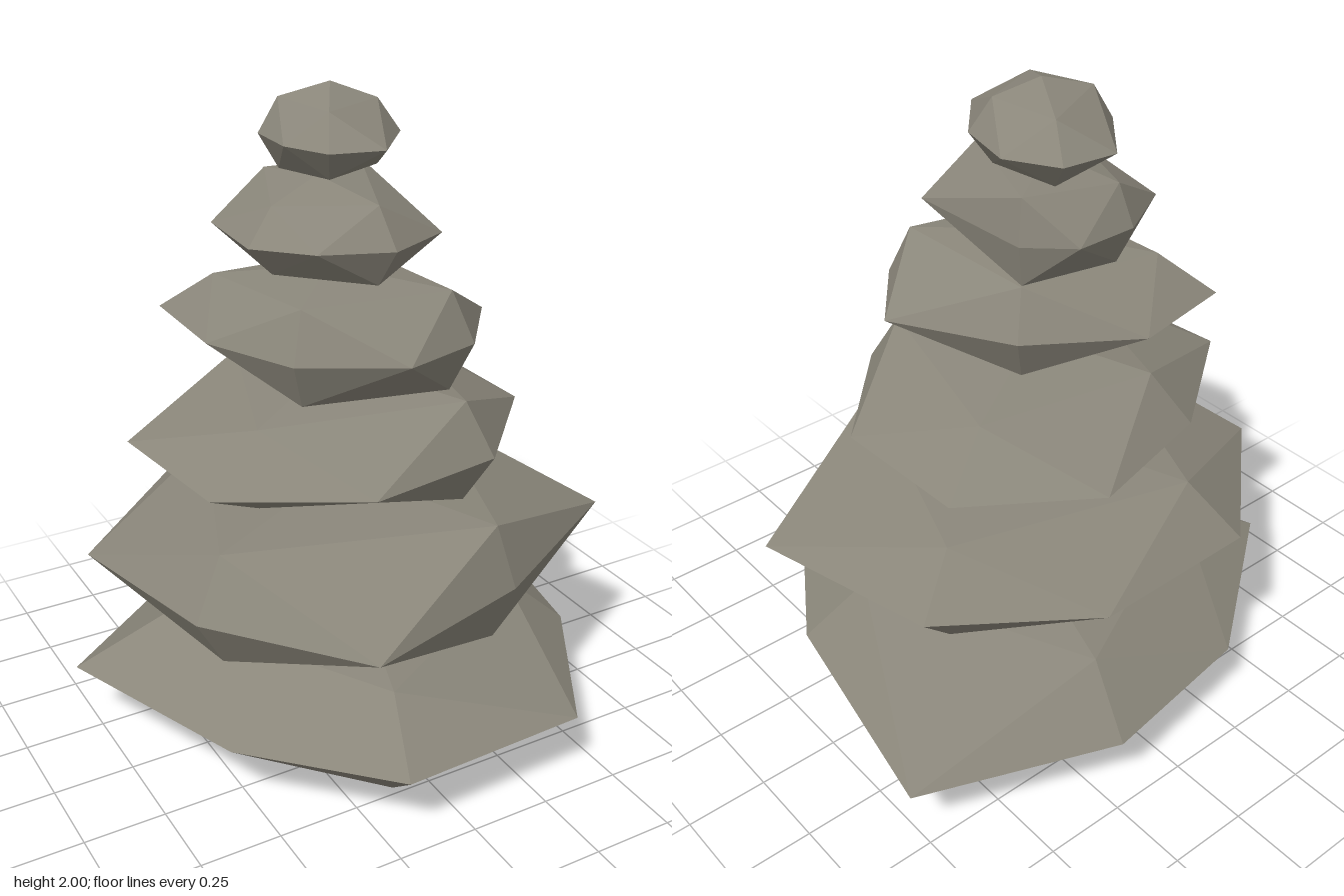
import * as THREE from 'three';

// Each stone: waist height y, half thickness h, eight waist corners [x, z], and how far
// the shoulders above and below every other waist corner sit out from the centre.
const STONES = [
  { name: 'baseStone', y: 0.23, h: 0.228, reach: [0.72, 0.74, 0.68, 0.75],
    waist: [[0.67, 0.24], [0.38, 0.71], [-0.21, 0.73], [-0.58, 0.355], [-0.815, -0.265], [-0.3, -0.65], [0.22, -0.73], [0.81, -0.5]] },
  { name: 'secondStone', y: 0.635, h: 0.207, reach: [0.89, 0.84, 0.75, 0.78],
    waist: [[0.24, 0.56], [-0.3, 0.71], [-0.64, 0.29], [-0.76, -0.23], [-0.34, -0.62], [0.2, -0.63], [0.62, -0.33], [0.77, 0.25]] },
  { name: 'thirdStone', y: 1.0, h: 0.19, reach: [0.82, 0.64, 0.74, 0.65],
    waist: [[0.235, 0.435], [-0.19, 0.5], [-0.58, 0.28], [-0.63, -0.18], [-0.26, -0.46], [0.16, -0.57], [0.52, -0.33], [0.535, 0.11]] },
  { name: 'fourthStone', y: 1.325, h: 0.178, reach: [0.84, 0.8, 0.67, 0.79],
    waist: [[0.21, 0.35], [-0.035, 0.415], [-0.31, 0.26], [-0.44, -0.02], [-0.435, -0.36], [-0.11, -0.42], [0.19, -0.22], [0.39, 0.12]] },
  { name: 'fifthStone', y: 1.61, h: 0.145, reach: [0.78, 0.67, 0.82, 0.9],
    waist: [[-0.01, 0.29], [-0.21, 0.21], [-0.345, 0.07], [-0.33, -0.2], [-0.14, -0.31], [0.05, -0.31], [0.17, -0.2], [0.19, 0.2]] },
  { name: 'topStone', y: 1.86, h: 0.14, reach: [0.67, 0.66, 0.72, 0.66],
    waist: [[0.16, 0.02], [0.015, 0.19], [-0.14, 0.15], [-0.205, 0.015], [-0.2, -0.15], [-0.05, -0.33], [0.115, -0.31], [0.2, -0.165]] },
];

// A faceted pebble: pole, four shoulder corners and eight waist corners on each half
function stoneGeometry({ y, h, reach, waist }) {
  const points = [];
  const mean = (axis) => waist.reduce((sum, p) => sum + p[axis], 0) / waist.length;
  const cx = mean(0), cz = mean(1);
  const rim = (i) => [waist[i % 8][0], y, waist[i % 8][1]];

  for (const side of [1, -1]) {
    // Swap two corners on the lower half so every face points outward
    const tri = (a, b, c) => points.push(...a, ...(side > 0 ? b : c), ...(side > 0 ? c : b));
    const pole = [cx, y + side * h, cz];
    const shoulder = (k) => {
      const s = reach[k % 4];
      const [x, , z] = rim(2 * k);
      return [cx + (x - cx) * s, y + side * h * s, cz + (z - cz) * s];
    };
    for (let k = 0; k < 4; k++) {
      const a = shoulder(k), b = shoulder(k + 1);
      const r0 = rim(2 * k), r1 = rim(2 * k + 1), r2 = rim(2 * k + 2);
      tri(pole, b, a);
      tri(a, b, r1);
      tri(a, r1, r0);
      tri(b, r2, r1);
    }
  }

  // Unshared corners give flat facets
  const geometry = new THREE.BufferGeometry();
  geometry.setAttribute('position', new THREE.Float32BufferAttribute(points, 3));
  geometry.computeVertexNormals();
  return geometry;
}

export function createModel() {
  const group = new THREE.Group();
  group.name = 'stoneStack';
  const stone = new THREE.MeshStandardMaterial({ color: 0x8a867a });
  stone.name = 'warm grey stone';

  // Stack from the largest stone to the smallest
  for (const spec of STONES) {
    const mesh = new THREE.Mesh(stoneGeometry(spec), stone);
    mesh.name = spec.name;
    group.add(mesh);
  }
  return group;
}
